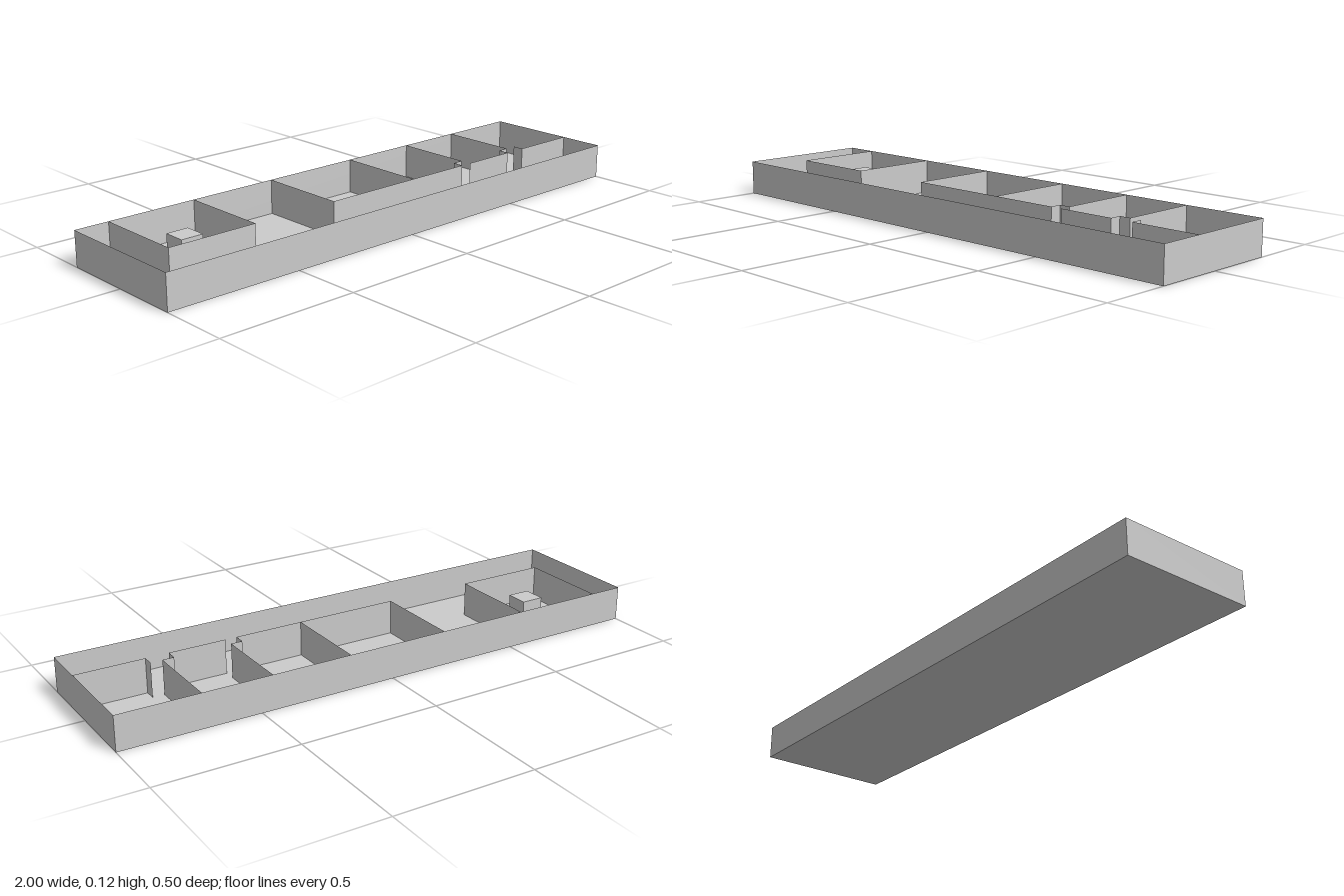
import * as THREE from 'three';

const U = 1 / 24; // floor-plan grid cell
const HEIGHT = 3 * U;

export function createModel() {
  const model = new THREE.Group();
  const material = new THREE.MeshStandardMaterial({
    color: 0xcccccc, flatShading: true, side: THREE.DoubleSide,
  });

  // Paper-thin upright walls following a path of [x, z] grid corners
  function wall(name, ...path) {
    const group = new THREE.Group();
    group.name = name;
    for (let i = 0; i + 1 < path.length; i++) {
      const [ax, az] = path[i], [bx, bz] = path[i + 1];
      const panel = new THREE.Mesh(
        new THREE.PlaneGeometry(Math.hypot(bx - ax, bz - az) * U, HEIGHT), material);
      panel.name = name + 'Panel';
      panel.position.set((ax + bx) / 2 * U, HEIGHT / 2, (az + bz) / 2 * U);
      panel.rotation.y = -Math.atan2(bz - az, bx - ax);
      group.add(panel);
    }
    model.add(group);
  }

  // Floor
  const floor = new THREE.Mesh(new THREE.PlaneGeometry(48 * U, 12 * U), material);
  floor.name = 'floor';
  floor.rotation.x = -Math.PI / 2;
  model.add(floor);

  // Outer shell
  wall('outerWall', [-24, -6], [24, -6], [24, 6], [-24, 6], [-24, -6]);

  // Enclosed rooms along the back, with a corridor in front
  wall('blockRoomWall', [-21, -6], [-21, 2], [-13, 2], [-13, -6]);
  wall('middleRoomWall', [-5, -6], [-5, 2], [4, 2], [4, -6]);

  // Rooms with recessed doorways
  wall('firstDoorRoomWall', [4, 2], [10, 2], [10, 1], [11, 1], [11, -6]);
  wall('secondDoorRoomWall', [11, 2], [16, 2], [16, 1], [17, 1], [17, -6]);
  wall('endRoomWall', [18, 1], [18, 2], [24, 2]);

  // Free-standing block in the first room
  const block = new THREE.Mesh(new THREE.BoxGeometry(2 * U, 0.09, 2 * U), material);
  block.name = 'block';
  block.position.set(-17 * U, 0.045, -0.07);
  model.add(block);

  return model;
}
